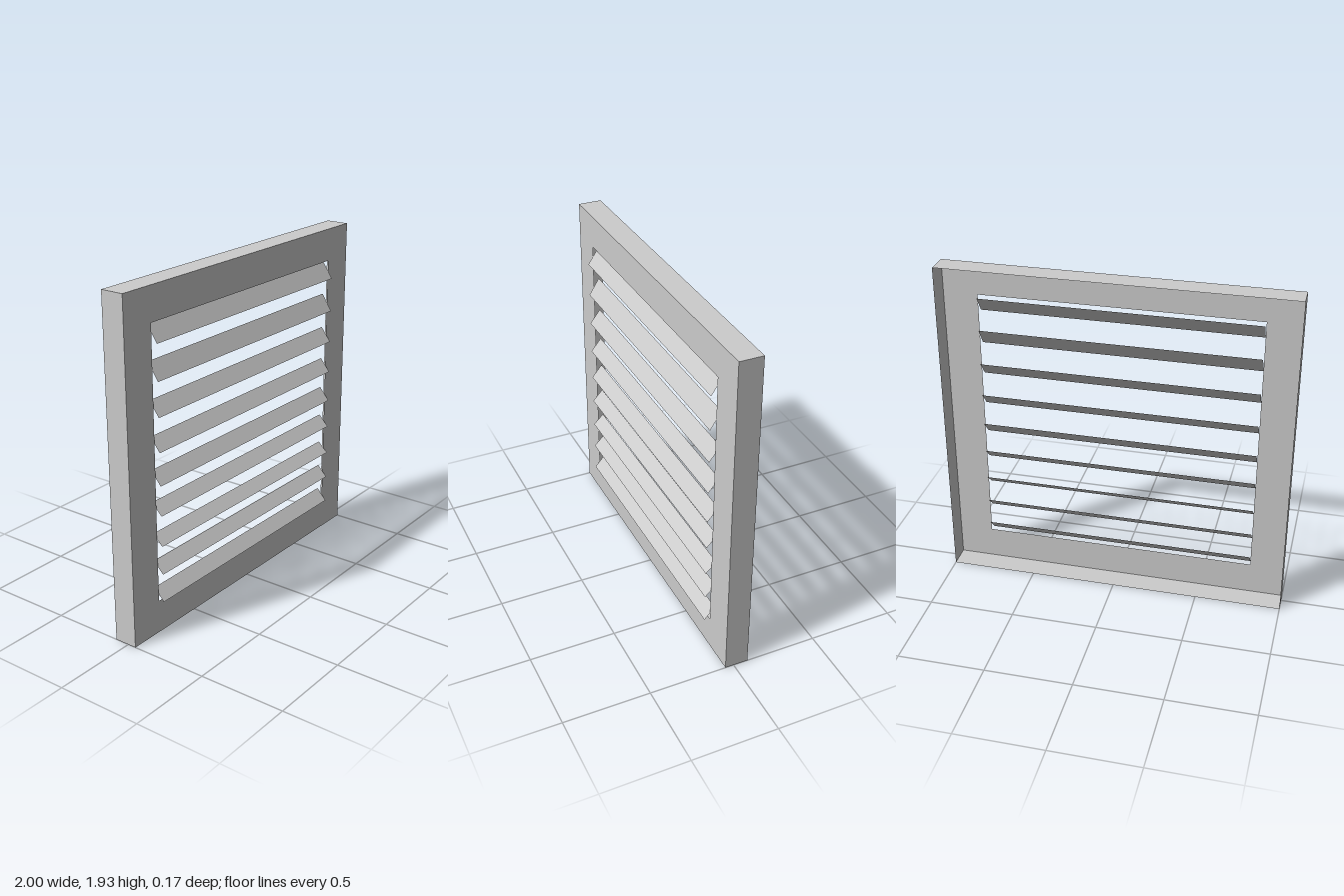
import * as THREE from 'three';

const W = 2, H = 1.935, FRONT = 0.05, BACK = -0.085;
const mat = new THREE.MeshStandardMaterial({ color: 0xcccccc, side: THREE.DoubleSide, flatShading: true });

function add(parent, name, geometry) {
  const mesh = new THREE.Mesh(geometry, mat);
  mesh.name = name;
  parent.add(mesh);
  return mesh;
}

function rect(path, x0, y0, x1, y1) {
  path.moveTo(x0, y0).lineTo(x1, y0).lineTo(x1, y1).lineTo(x0, y1).closePath();
  return path;
}

export function createModel() {
  const vent = new THREE.Group();
  vent.name = 'louverVent';

  // Sheet front plate with the rectangular opening
  const plate = rect(new THREE.Shape(), -W / 2, 0, W / 2, H);
  plate.holes.push(rect(new THREE.Path(), -0.8, 0.19, 0.8, 1.745));
  add(vent, 'frontPlate', new THREE.ShapeGeometry(plate)).position.z = FRONT;

  // Thin walls folded back from the plate, open at the rear
  const depth = FRONT - BACK, midZ = (FRONT + BACK) / 2;
  for (const side of [-1, 1]) {
    const wall = add(vent, side > 0 ? 'leftWall' : 'rightWall', new THREE.PlaneGeometry(depth, H));
    wall.rotation.y = side * Math.PI / 2;
    wall.position.set(side * W / 2, H / 2, midZ);

    const rim = add(vent, side > 0 ? 'topWall' : 'bottomWall', new THREE.PlaneGeometry(W, depth));
    rim.rotation.x = -side * Math.PI / 2;
    rim.position.set(0, side > 0 ? H : 0, midZ);
  }

  // Slanted slats, [bottom, top] heights, lower edge leaning out to the front
  const slats = new THREE.Group();
  slats.name = 'slats';
  vent.add(slats);
  const zTop = 0.02, zBottom = 0.082;
  const rows = [
    [0.193, 0.262], [0.358, 0.422], [0.524, 0.583], [0.70, 0.765], [0.872, 0.947],
    [1.059, 1.134], [1.251, 1.332], [1.443, 1.54], [1.642, 1.733],
  ];
  for (const [y0, y1] of rows) {
    const rise = y1 - y0, run = zBottom - zTop;
    const slat = add(slats, 'slat', new THREE.PlaneGeometry(1.594, Math.hypot(rise, run)));
    slat.rotation.x = -Math.atan2(run, rise);
    slat.position.set(0, (y0 + y1) / 2, (zTop + zBottom) / 2);
  }
  return vent;
}
